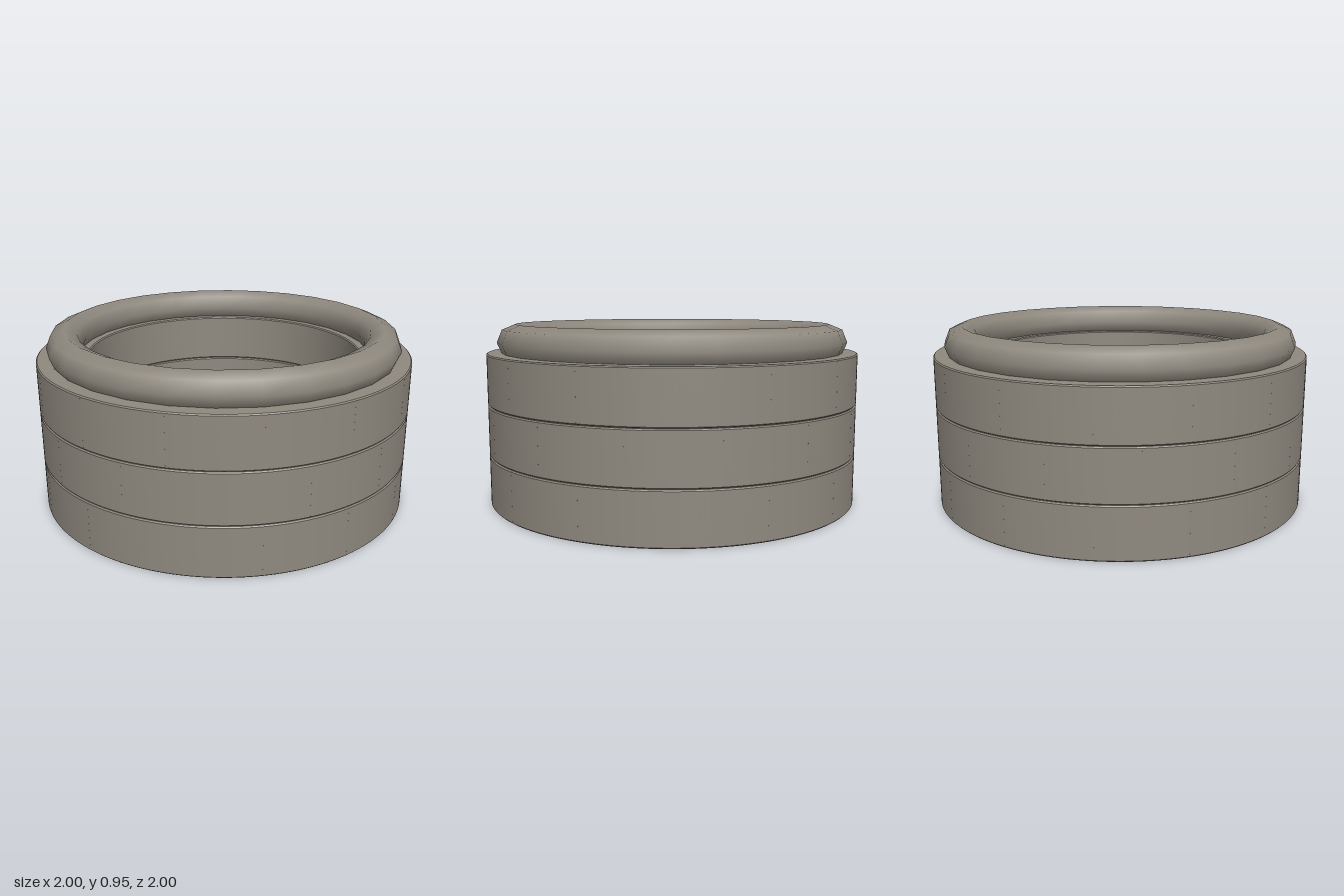
import * as THREE from 'three';
import { toCreasedNormals } from 'three/addons/utils/BufferGeometryUtils.js';

const ROWS = 3, BLOCKS = 14, ROW_H = 0.268, BEVEL = 0.006;
const OUTER = 1, INNER = 0.728;

// One curved block: an annular sector extruded upwards with a small bevel
function blockGeometry() {
  const half = Math.PI / BLOCKS;
  const shape = new THREE.Shape();
  shape.absarc(0, 0, OUTER - BEVEL, -half, half, false);
  shape.absarc(0, 0, INNER + BEVEL, half, -half, true);
  shape.closePath();
  const geo = new THREE.ExtrudeGeometry(shape, {
    depth: ROW_H - 2 * BEVEL - 0.002,
    curveSegments: 10,
    bevelEnabled: true,
    bevelSize: BEVEL,
    bevelThickness: BEVEL,
    bevelSegments: 1,
  });
  geo.translate(0, 0, BEVEL);
  geo.rotateX(-Math.PI / 2);
  return toCreasedNormals(geo, 0.5);
}

export function createModel() {
  const stone = new THREE.MeshStandardMaterial({ color: 0x8f897f });
  stone.name = 'stone';
  const water = new THREE.MeshStandardMaterial({ color: 0x2e3c3c });
  water.name = 'darkWater';

  const well = new THREE.Group();
  well.name = 'well';

  // Stacked rings of blocks, alternate rows shifted by half a block
  const block = blockGeometry();
  for (let row = 0; row < ROWS; row++) {
    const ring = new THREE.Group();
    ring.name = `stoneRow${row + 1}`;
    ring.position.y = row * ROW_H;
    for (let i = 0; i < BLOCKS; i++) {
      const mesh = new THREE.Mesh(block, stone);
      mesh.name = 'block';
      mesh.rotation.y = ((i + 0.5 + (row % 2) * 0.5) / BLOCKS) * Math.PI * 2;
      ring.add(mesh);
    }
    well.add(ring);
  }

  // Rounded rim resting on the top row
  const rim = new THREE.Mesh(new THREE.TorusGeometry(0.85, 0.095, 8, 28), stone);
  rim.name = 'rim';
  rim.rotation.x = Math.PI / 2;
  rim.position.y = 0.857;
  well.add(rim);

  // Water disc inside the shaft
  const surface = new THREE.Mesh(new THREE.CylinderGeometry(0.728, 0.728, 0.03, 48), water);
  surface.name = 'water';
  surface.position.y = 0.43;
  well.add(surface);

  return well;
}
